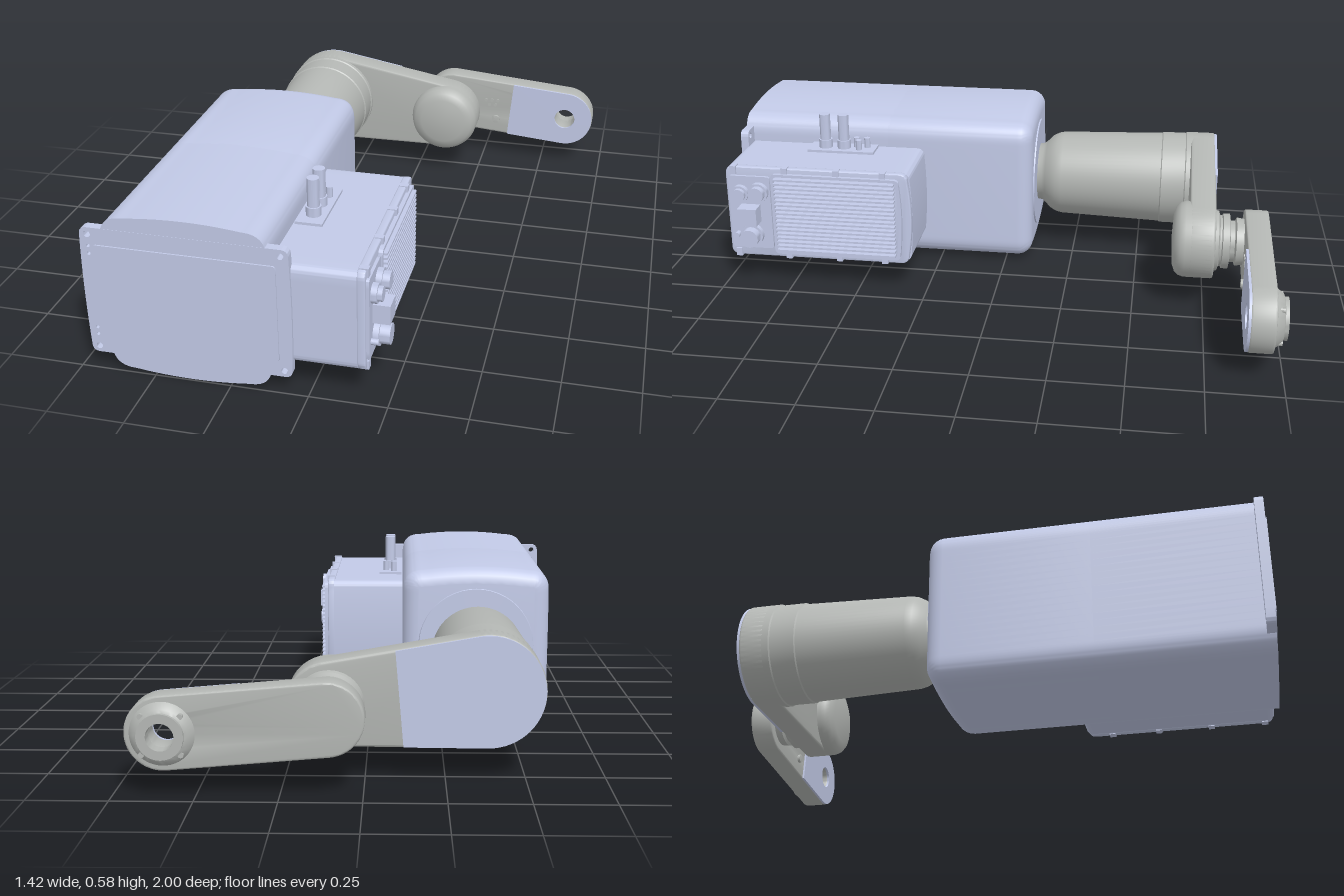
import * as THREE from 'three';
import { toCreasedNormals } from 'three/addons/utils/BufferGeometryUtils.js';

const paint = new THREE.MeshStandardMaterial({ color: 0xc8d0ee });
paint.name = 'pale lavender paint';
const metal = new THREE.MeshStandardMaterial({ color: 0xb4b7b4 });
metal.name = 'cast grey';

export function createModel() {
  const root = new THREE.Group();

  const add = (name, geo, mat, x = 0, y = 0, z = 0, crease = 0.6) => {
    const mesh = new THREE.Mesh(toCreasedNormals(geo, crease), mat);
    mesh.name = name;
    mesh.position.set(x, y, z);
    root.add(mesh);
    return mesh;
  };
  const box = (name, mat, w, h, d, x, y, z) => add(name, new THREE.BoxGeometry(w, h, d), mat, x, y, z);

  // extrude a shape between two z values, with an optional rounded edge
  const slab = (shape, z0, z1, bevel = 0, steps = 3) => {
    const g = new THREE.ExtrudeGeometry(shape, {
      depth: z1 - z0 - 2 * bevel, curveSegments: 16, bevelEnabled: bevel > 0,
      bevelThickness: bevel, bevelSize: bevel, bevelOffset: -bevel, bevelSegments: steps,
    });
    return g.translate(0, 0, z0 + bevel);
  };

  // turned part about a z axis, profile points are [radius, z] with z rising
  const turned = (points, segments = 48) =>
    new THREE.LatheGeometry(points.map(([r, z]) => new THREE.Vector2(r, z)), segments).rotateX(Math.PI / 2);

  // rounded rectangle whose sides bulge: bx on left and right, by on top and bottom
  const bowed = (x0, x1, y0, y1, r, bxL = 0, bxR = 0, by = 0) => {
    const s = new THREE.Shape();
    const mx = (x0 + x1) / 2, my = (y0 + y1) / 2;
    s.moveTo(x0 + r, y0);
    s.quadraticCurveTo(mx, y0 - 2 * by, x1 - r, y0);
    s.quadraticCurveTo(x1, y0, x1, y0 + r);
    s.quadraticCurveTo(x1 + 2 * bxR, my, x1, y1 - r);
    s.quadraticCurveTo(x1, y1, x1 - r, y1);
    s.quadraticCurveTo(mx, y1 + 2 * by, x0 + r, y1);
    s.quadraticCurveTo(x0, y1, x0, y1 - r);
    s.quadraticCurveTo(x0 - 2 * bxL, my, x0, y0 + r);
    s.quadraticCurveTo(x0, y0, x0 + r, y0);
    return s;
  };

  // link outline around two circles; t below 1 cuts it off straight part way
  const link = (x1, y1, r1, x2, y2, r2, t = 1) => {
    const phi = Math.atan2(y2 - y1, x2 - x1);
    const a = Math.acos((r1 - r2) / Math.hypot(x2 - x1, y2 - y1));
    const s = new THREE.Shape();
    s.absarc(x1, y1, r1, phi + a, phi + 2 * Math.PI - a, false);
    if (t >= 1) s.absarc(x2, y2, r2, phi - a, phi + a, false);
    else for (const b of [phi - a, phi + a]) {
      const r = r1 + (r2 - r1) * t;
      s.lineTo(x1 + (x2 - x1) * t + r * Math.cos(b), y1 + (y2 - y1) * t + r * Math.sin(b));
    }
    return s;
  };
  const hole = (shape, x, y, r) => {
    const p = new THREE.Path();
    p.absarc(x, y, r, 0, 2 * Math.PI, true);
    shape.holes.push(p);
    return shape;
  };

  // main housing, rounded at the back and flat at the mounting end
  const housing = () => bowed(-0.643, -0.117, 0.017, 0.553, 0.075, 0.001, 0.001, 0.012);
  add('housingBack', slab(housing(), -0.1, 0.5, 0.055, 6), paint);
  add('housingFront', slab(housing(), 0.44, 0.994), paint);
  add('housingRearCover', turned([[0, -0.105], [0.205, -0.105], [0.21, -0.09]]), paint, -0.38, 0.285);

  // mounting flange with corner holes
  const flange = bowed(-0.71, -0.05, 0.063, 0.51, 0.025, 0.004, 0.004);
  for (const x of [-0.685, -0.075]) for (const y of [0.085, 0.487]) hole(flange, x, y, 0.011);
  for (const y of [0.13, 0.155, 0.42, 0.447]) hole(flange, -0.685, y, 0.006);
  add('mountingFlange', slab(flange, 0.966, 0.995), paint);
  add('mountingPanel', slab(bowed(-0.67, -0.09, 0.117, 0.453, 0.012), 0.99, 1.0), paint);

  // control box: outlines drawn along the depth and extruded sideways
  const side = (shape, x0, x1, bevel) => slab(shape, x0, x1, bevel).rotateY(Math.PI / 2);
  add('controlBox', side(bowed(-0.985, -0.306, 0.112, 0.452, 0.03, 0, 0.006), -0.13, 0.152), paint);
  add('controlBoxCover', side(bowed(-0.98, -0.312, 0.11, 0.457, 0.03, 0, 0.012), 0.15, 0.176, 0.004), paint);
  for (const y of [0.122, 0.445]) for (const z of [0.4, 0.57, 0.76, 0.95])
    box('coverLug', paint, 0.03, 0.03, 0.022, 0.168, y, z);

  // cooling fins and their rim
  const fins = 18;
  for (let i = 0; i < fins; i++) {
    const y = 0.145 + (0.275 * i) / (fins - 1);
    box('coolingFin', paint, 0.03, 0.007, 0.44, 0.187, y, 0.577);
  }
  const rim = bowed(-0.81, -0.34, 0.127, 0.438, 0.02, 0, 0.008);
  rim.holes.push(bowed(-0.8, -0.352, 0.137, 0.428, 0.015, 0, 0.008));
  add('finRim', side(rim, 0.174, 0.19), paint);

  // connectors beside the fins
  const plug = (name, r, h, x, y, z, alongX) => {
    const g = new THREE.CylinderGeometry(r, r, h, 24);
    if (alongX) g.rotateZ(Math.PI / 2);
    add(name, g, paint, x, y, z);
  };
  add('connectorPlate', side(bowed(-0.968, -0.815, 0.145, 0.425, 0.012), 0.17, 0.186), paint);
  for (const [y, z, r, end] of [[0.36, 0.925, 0.024, 0.22], [0.368, 0.856, 0.028, 0.228], [0.2, 0.89, 0.034, 0.238]]) {
    plug('connector', r, end - 0.17, (end + 0.17) / 2, y, z, true);
    plug('connectorCollar', r + 0.008, 0.03, 0.19, y, z, true);
  }
  box('squareConnector', paint, 0.065, 0.065, 0.07, 0.208, 0.285, 0.89);
  plug('smallConnector', 0.01, 0.03, 0.195, 0.2, 0.945, true);

  // fittings on top of the control box
  box('fittingPlate', paint, 0.09, 0.01, 0.25, -0.067, 0.456, 0.605);
  for (const z of [0.6, 0.67]) {
    plug('hoseFitting', 0.02, 0.13, -0.066, 0.525, z);
    plug('hoseFittingNut', 0.025, 0.035, -0.066, 0.475, z);
  }
  for (const [x, z] of [[-0.05, 0.54], [-0.08, 0.555], [-0.08, 0.515]])
    plug('smallFitting', 0.011, 0.04, x, 0.478, z);

  // shoulder barrel with its narrow neck
  add('shoulderBarrel', turned([
    [0, -0.77], [0.18, -0.77], [0.18, -0.672], [0.176, -0.668], [0.176, -0.582], [0.172, -0.578],
    [0.16, -0.2], [0.155, -0.177], [0.142, -0.153], [0.123, -0.135], [0.112, -0.122], [0.108, -0.09],
  ], 64), metal, -0.38, 0.285);

  // first link, its rear cover and the elbow boss
  const first = [-0.38, 0.285, 0.18, 0.11, 0.243, 0.135];
  add('firstLink', slab(link(...first), -0.778, -0.688, 0.008), metal);
  add('firstLinkCover', slab(link(-0.38, 0.285, 0.177, 0.11, 0.243, 0.132, 0.53), -0.785, -0.776), paint);
  add('elbowBoss', turned([
    [0.135, -0.765], [0.135, -0.675], [0.13, -0.658], [0.117, -0.643], [0.09, -0.633], [0, -0.628],
  ]), metal, 0.11, 0.243);
  add('elbowJoint', turned([
    [0.08, -0.89], [0.085, -0.852], [0.073, -0.847], [0.073, -0.832], [0.097, -0.828],
    [0.097, -0.805], [0.09, -0.802], [0.09, -0.795], [0.105, -0.79], [0.112, -0.77],
  ]), metal, 0.11, 0.243);

  // second link with a bored tip and a painted front cover
  const tip = [0.593, 0.2];
  const second = link(...tip, 0.115, 0.11, 0.243, 0.115);
  add('secondLink', slab(hole(second, ...tip, 0.042), -0.96, -0.878, 0.006), metal);
  const cover = link(...tip, 0.113, 0.11, 0.243, 0.113, 0.48);
  add('secondLinkCover', slab(hole(cover, ...tip, 0.042), -0.88, -0.871), paint);
  add('linkButton', turned([[0.016, -0.885], [0.016, -0.868], [0, -0.866]], 20), metal, 0.3, 0.172);
  for (const [x, y] of [[0.255, 0.255], [0.28, 0.255], [0.305, 0.255], [0.27, 0.235], [0.295, 0.235]])
    add('linkScrew', turned([[0.007, -0.885], [0.007, -0.875], [0, -0.875]], 12), metal, x, y);

  // tool flange at the end of the arm
  add('toolFlange', turned([
    [0.042, -1], [0.07, -1], [0.07, -0.988], [0.08, -0.984], [0.1, -0.957], [0.1, -0.94],
    [0.042, -0.94], [0.042, -1],
  ]), metal, ...tip);
  for (let i = 0; i < 4; i++) {
    const a = Math.PI / 4 + (i * Math.PI) / 2;
    add('flangeScrew', turned([[0, -1], [0.009, -1], [0.009, -0.95]], 12), metal,
      tip[0] + 0.082 * Math.cos(a), tip[1] + 0.082 * Math.sin(a), 0.015);
  }

  return root;
}
